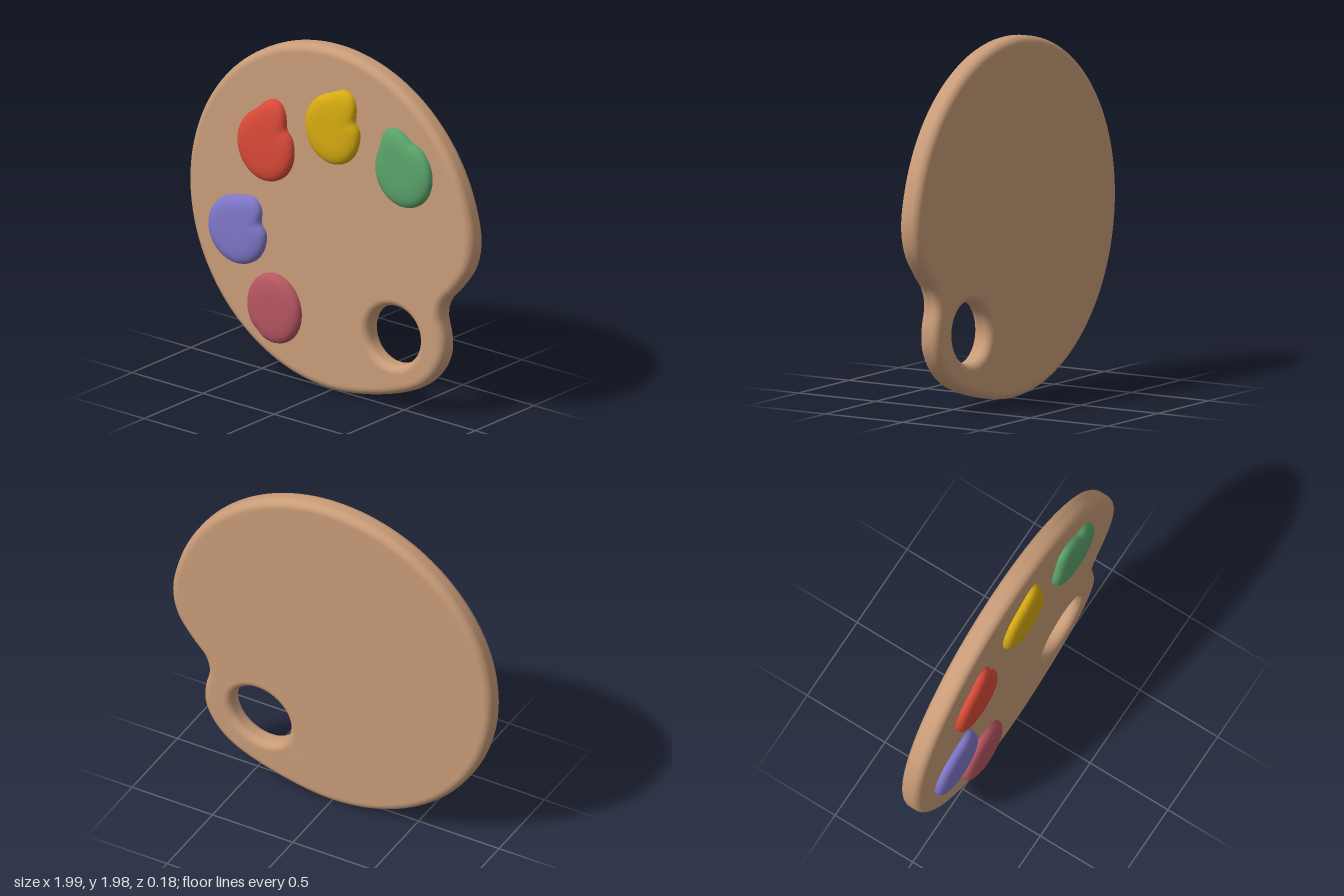
import * as THREE from 'three';
import { mergeVertices } from 'three/addons/utils/BufferGeometryUtils.js';

const mat = (name, color) => {
  const m = new THREE.MeshStandardMaterial({ color });
  m.name = name;
  return m;
};

// Board outline: an ellipse for most of the way, then the thumb lobe and notch
function boardOutline() {
  const points = [];
  for (let deg = 5; deg <= 281; deg += 12) {
    const a = THREE.MathUtils.degToRad(deg);
    points.push(new THREE.Vector3(Math.cos(a) * 0.998, 1 + Math.sin(a) * 0.99, 0));
  }
  const lobe = [[0.47, 0.1], [0.64, 0.18], [0.74, 0.28], [0.79, 0.39], [0.79, 0.5],
    [0.765, 0.61], [0.79, 0.7], [0.87, 0.79], [0.965, 0.93]];
  for (const [x, y] of lobe) points.push(new THREE.Vector3(x, y, 0));
  const curve = new THREE.CatmullRomCurve3(points, true);
  return curve.getSpacedPoints(160).slice(0, 160).map(p => new THREE.Vector2(p.x, p.y));
}

// Wooden board with rounded rim and thumb hole
function boardGeometry() {
  const shape = new THREE.Shape(boardOutline());
  const hole = new THREE.Path();
  hole.absellipse(0.441, 0.428, 0.187, 0.167, 0, Math.PI * 2, false, 0.5);
  shape.holes.push(new THREE.Path(hole.getSpacedPoints(56).slice(0, 56)));
  const bevel = 0.045;
  const geo = new THREE.ExtrudeGeometry(shape, {
    depth: 0.035, bevelThickness: bevel, bevelSize: bevel, bevelOffset: -bevel, bevelSegments: 7,
  });
  geo.translate(0, 0, -0.045);
  // Share vertices so the rim shades smoothly
  geo.deleteAttribute('normal');
  geo.deleteAttribute('uv');
  const smooth = mergeVertices(geo, 1e-4);
  smooth.computeVertexNormals();
  return smooth;
}

// Gaussian falloff around an angle given in degrees
function swell(angle, deg, width) {
  const d = angle - THREE.MathUtils.degToRad(deg);
  return Math.exp(-((Math.atan2(Math.sin(d), Math.cos(d)) / width) ** 2));
}

// Paint dab: an ellipse with one lobe and a small dent, rounded into a low dome
function dabGeometry({ x, y, rx, ry, lobe, lobeAt, dent, dentAt }) {
  const sides = 72, rings = 10;
  const pos = [], index = [];
  for (let r = 0; r <= rings; r++) {
    const t = (r / rings) * Math.PI / 2;
    const s = r === rings ? 0 : Math.sqrt(Math.cos(t));
    const z = 0.03 + 0.06 * Math.sin(t) ** 0.7;
    for (let i = 0; i < sides; i++) {
      const a = (i / sides) * Math.PI * 2;
      const ellipse = 1 / Math.hypot(Math.cos(a) / rx, Math.sin(a) / ry);
      const radius = s * (ellipse + lobe * swell(a, lobeAt, 0.4) - dent * swell(a, dentAt, 0.2));
      pos.push(x + Math.cos(a) * radius, y + Math.sin(a) * radius, z);
      if (r === rings) continue;
      const p = r * sides + i, q = r * sides + (i + 1) % sides;
      index.push(p, q, p + sides);
      if (r < rings - 1) index.push(q, q + sides, p + sides);
    }
  }
  const geo = new THREE.BufferGeometry();
  geo.setAttribute('position', new THREE.Float32BufferAttribute(pos, 3));
  geo.setIndex(index);
  const smooth = mergeVertices(geo, 1e-5);
  smooth.computeVertexNormals();
  return smooth;
}

const DABS = [
  { name: 'redPaint', color: 0xdb4a38, x: -0.435, y: 1.33, rx: 0.195, ry: 0.205,
    lobe: 0.085, lobeAt: 74, dent: 0.02, dentAt: 42 },
  { name: 'yellowPaint', color: 0xd6ab10, x: 0.035, y: 1.535, rx: 0.187, ry: 0.2,
    lobe: 0.068, lobeAt: 63, dent: 0.018, dentAt: 28 },
  { name: 'greenPaint', color: 0x5ba36a, x: 0.535, y: 1.405, rx: 0.195, ry: 0.2,
    lobe: 0.058, lobeAt: 113, dent: 0.01, dentAt: 73 },
  { name: 'violetPaint', color: 0x7f76c8, x: -0.635, y: 0.795, rx: 0.2, ry: 0.195,
    lobe: 0.045, lobeAt: 57, dent: 0.025, dentAt: 25 },
  { name: 'pinkPaint', color: 0xb65661, x: -0.375, y: 0.401, rx: 0.185, ry: 0.2,
    lobe: 0, lobeAt: 0, dent: 0.008, dentAt: 235 },
];

export function createModel() {
  const model = new THREE.Group();
  model.name = 'paintPalette';
  const board = new THREE.Mesh(boardGeometry(), mat('wood', 0xc99c78));
  board.name = 'board';
  model.add(board);
  for (const dab of DABS) {
    const mesh = new THREE.Mesh(dabGeometry(dab), mat(dab.name, dab.color));
    mesh.name = dab.name;
    model.add(mesh);
  }
  return model;
}
